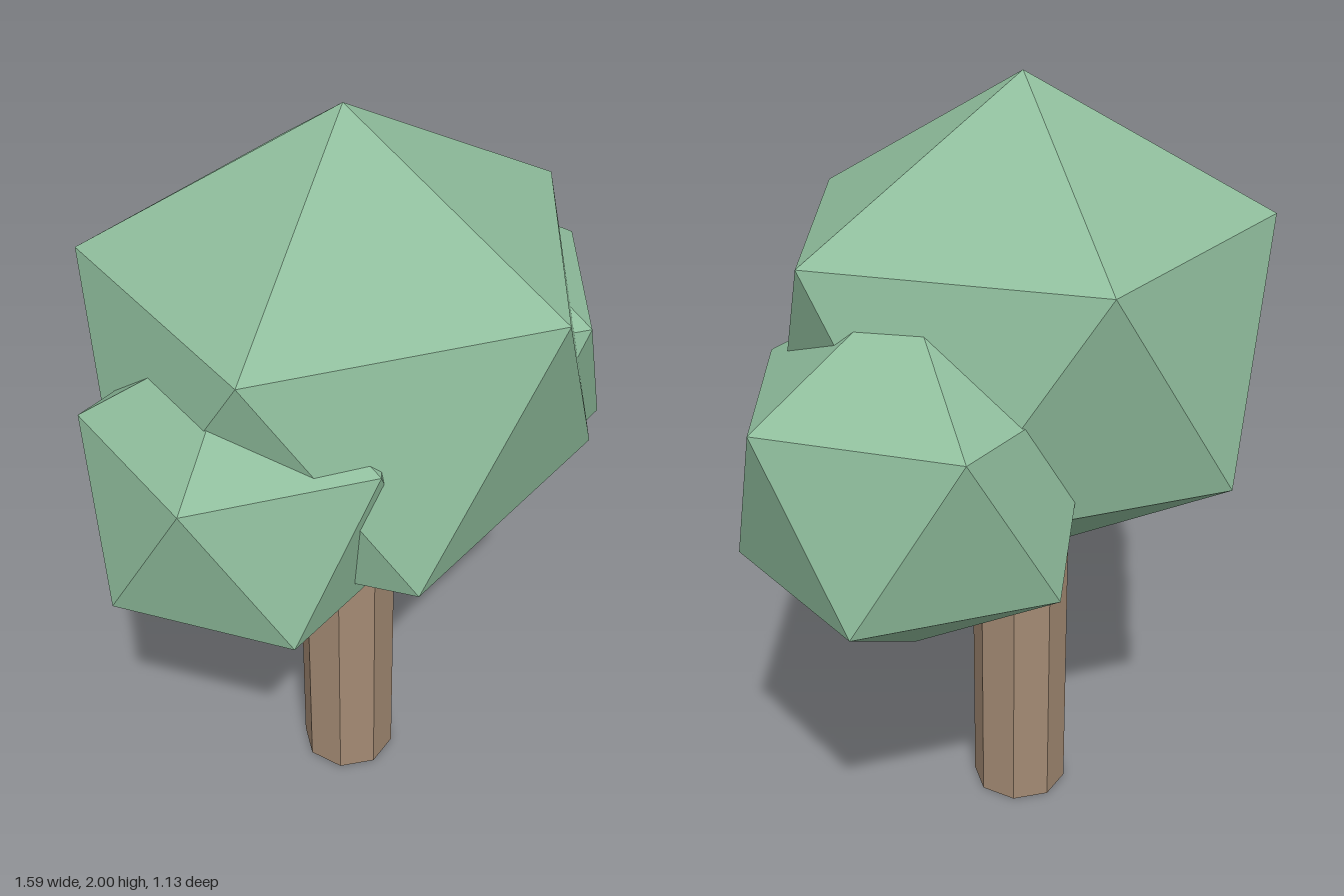
import * as THREE from 'three';

// Icosahedron standing on a corner, with one upper-ring corner pointing to +x
function leafBall(name, material, radii, position) {
  const golden = (1 + Math.sqrt(5)) / 2;
  const geometry = new THREE.IcosahedronGeometry(1, 0);
  geometry.rotateZ(-Math.atan(1 / golden));
  geometry.scale(...radii);
  geometry.computeVertexNormals();
  const mesh = new THREE.Mesh(geometry, material);
  mesh.name = name;
  mesh.position.set(...position);
  return mesh;
}

export function createModel() {
  const tree = new THREE.Group();
  tree.name = 'tree';

  const leafGreen = new THREE.MeshStandardMaterial({ color: 0x8fbd9c, flatShading: true });
  leafGreen.name = 'leaf green';
  const barkBrown = new THREE.MeshStandardMaterial({ color: 0xa38a73, flatShading: true });
  barkBrown.name = 'bark brown';

  // Straight eight-sided trunk, ending inside the crown
  const trunkHeight = 0.95;
  const trunk = new THREE.Mesh(
    new THREE.CylinderGeometry(0.128, 0.128, trunkHeight, 8), barkBrown);
  trunk.name = 'trunk';
  trunk.position.set(-0.048, trunkHeight / 2, 0);
  tree.add(trunk);

  // Large crown with a smaller ball of leaves on each side
  tree.add(
    leafBall('crown', leafGreen, [0.704, 0.636, 0.665], [-0.05, 1.364, 0]),
    leafBall('rightLeafBall', leafGreen, [0.419, 0.418, 0.419], [-0.42, 1.216, 0.145]),
    leafBall('leftLeafBall', leafGreen, [0.466, 0.471, 0.47], [0.375, 1.144, -0.125]),
  );
  return tree;
}
